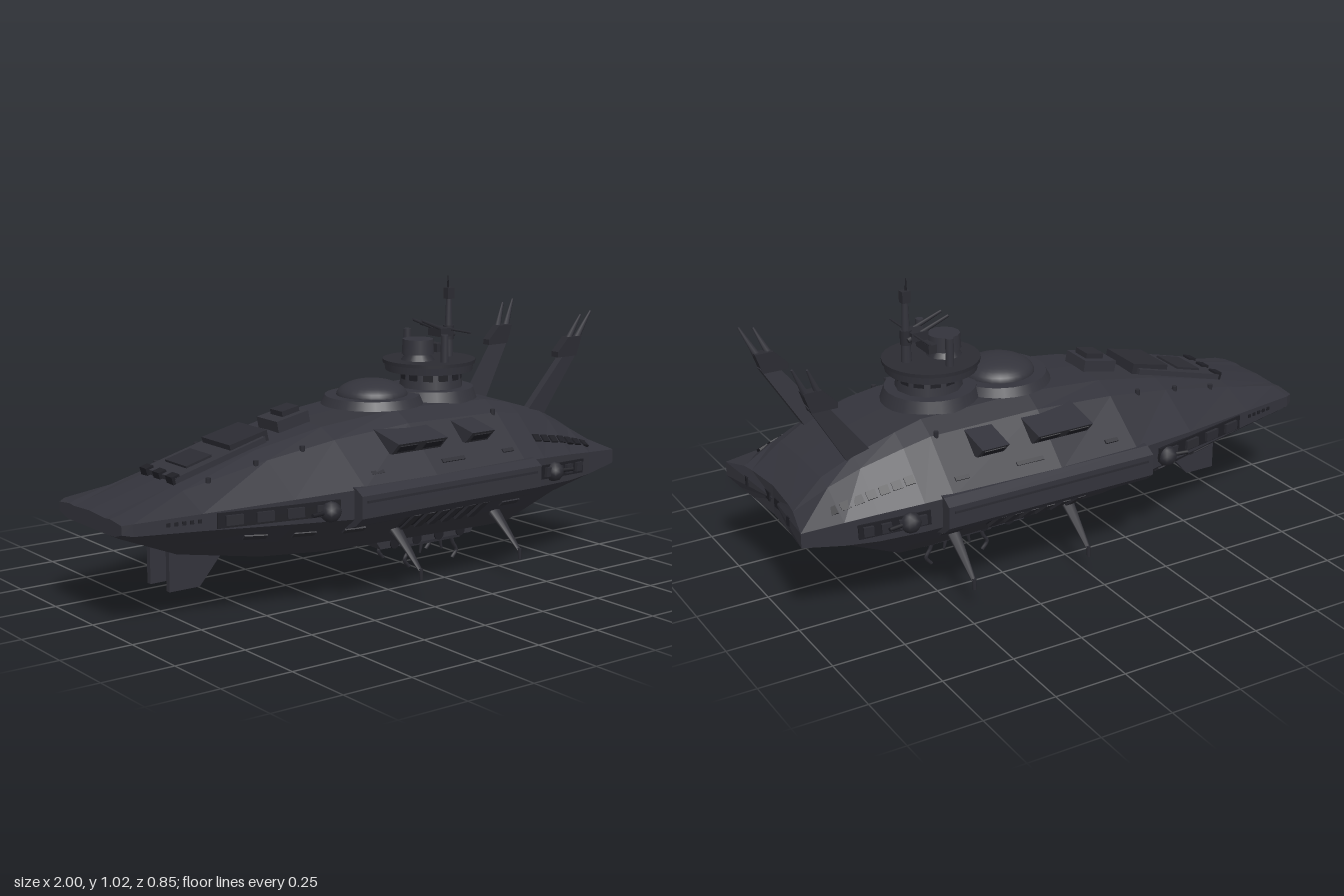
import * as THREE from 'three';

const mat = (name, color) => Object.assign(new THREE.MeshStandardMaterial({ color }), { name });
const HULL = mat('charcoal plating', 0x33333b);
const TRIM = mat('dark trim', 0x2b2b32);
const DARK = mat('black recess', 0x1f1f25);

// Hull stations: x, deck y, deck half width, waist half width, waist top, waist bottom, keel half width, keel y
const ST = [
  [-1.0, 0.38, 0.10, 0.20, 0.37, 0.34, 0.12, 0.325],
  [-0.97, 0.39, 0.10, 0.22, 0.375, 0.335, 0.13, 0.31],
  [-0.75, 0.45, 0.10, 0.27, 0.385, 0.33, 0.11, 0.22],
  [-0.45, 0.53, 0.12, 0.34, 0.40, 0.32, 0.14, 0.17],
  [-0.2, 0.58, 0.14, 0.385, 0.41, 0.31, 0.17, 0.155],
  [0.1, 0.61, 0.16, 0.39, 0.41, 0.31, 0.18, 0.15],
  [0.5, 0.60, 0.16, 0.38, 0.41, 0.31, 0.18, 0.14],
  [0.6, 0.58, 0.17, 0.37, 0.405, 0.305, 0.175, 0.14],
  [0.75, 0.535, 0.17, 0.345, 0.395, 0.30, 0.165, 0.20],
  [0.86, 0.48, 0.16, 0.325, 0.385, 0.305, 0.16, 0.245],
  [0.96, 0.405, 0.15, 0.305, 0.375, 0.325, 0.15, 0.30],
];
const mix = THREE.MathUtils.lerp;

function station(x) {
  const i = Math.max(1, ST.findIndex(s => s[0] >= x));
  const k = (x - ST[i - 1][0]) / (ST[i][0] - ST[i - 1][0]);
  return ST[i].map((v, n) => mix(ST[i - 1][n], v, k));
}

function section([x, yt, zt, zw, y1, y2, zb, yb]) {
  const half = [[0, yt], [zt, yt - 0.005], [mix(zt, zw, 0.3), mix(yt, y1, 0.22)], [zw, y1],
    [zw, y2], [mix(zw, zb, 0.5), mix(y2, yb, 0.5) - 0.005], [zb, yb], [0, yb]];
  const loop = [...half, ...half.slice(1, -1).reverse().map(([z, y]) => [-z, y])];
  // the transom is hollowed, with corners swept aft
  return loop.map(([z, y]) => [x > 0.9 ? x + 0.04 * (z / 0.305) ** 2 : x, y, z]);
}

function hullGeometry() {
  const rings = ST.map(section), n = rings[0].length, pos = [];
  const tri = (...p) => p.forEach(v => pos.push(...v));
  for (let i = 0; i < rings.length - 1; i++) for (let j = 0; j < n; j++) {
    const k = (j + 1) % n, a = rings[i], b = rings[i + 1];
    tri(a[j], a[k], b[j]);
    tri(a[k], b[k], b[j]);
  }
  const bow = rings[0], stern = rings.at(-1);
  for (let j = 0; j < n; j++) {
    const k = (j + 1) % n;
    tri([-1, 0.355, 0], bow[k], bow[j]);
    tri([0.96, 0.355, 0], stern[j], stern[k]);
  }
  const g = new THREE.BufferGeometry();
  g.setAttribute('position', new THREE.Float32BufferAttribute(pos, 3));
  g.computeVertexNormals();
  return g;
}

export function createModel() {
  const model = new THREE.Group();
  model.name = 'airship cruiser';
  const add = (name, geo, m, x = 0, y = 0, z = 0) => {
    const o = new THREE.Mesh(geo, m);
    o.name = name;
    o.position.set(x, y, z);
    model.add(o);
    return o;
  };
  const box = (name, m, w, h, d, x, y, z) => add(name, new THREE.BoxGeometry(w, h, d), m, x, y, z);
  const cyl = (name, m, r1, r2, h, x, y, z, n = 16) => add(name, new THREE.CylinderGeometry(r1, r2, h, n), m, x, y, z);
  // tapered bar between two points
  const bar = (name, m, a, b, r1, r2 = r1, n = 6, flat = 1) => {
    const p = new THREE.Vector3(...a), q = new THREE.Vector3(...b), d = q.clone().sub(p);
    const o = add(name, new THREE.CylinderGeometry(r2, r1, d.length(), n), m);
    o.position.copy(p).add(q).multiplyScalar(0.5);
    o.quaternion.setFromUnitVectors(new THREE.Vector3(0, 1, 0), d.normalize());
    o.scale.z = flat;
    return o;
  };
  // outline in x,y extruded across z
  const slab = (name, m, pts, depth, z) => add(name, new THREE.ExtrudeGeometry(
    new THREE.Shape(pts.map(p => new THREE.Vector2(...p))), { depth, bevelEnabled: false }), m, 0, 0, z - depth / 2);
  // outline in z,y extruded along x
  const prism = (name, m, pts, x0, x1) => {
    const o = add(name, new THREE.ExtrudeGeometry(new THREE.Shape(pts.map(p => new THREE.Vector2(-p[0], p[1]))),
      { depth: x1 - x0, bevelEnabled: false }), m, x0);
    o.rotation.y = Math.PI / 2;
    return o;
  };
  // thin plate laid on the hull flank; rows: 2 upper slope, 3 waist, 4 upper bilge, 5 lower bilge
  const plate = (name, m, x, row, t, w, h, s, thick = 0.009) => {
    const at = (px, k) => {
      const r = section(station(px));
      return new THREE.Vector3(px, mix(r[row][1], r[row + 1][1], k), s * mix(r[row][2], r[row + 1][2], k));
    };
    const u = at(x + 0.02, t).sub(at(x - 0.02, t)).normalize();
    const v = at(x, t - 0.1).sub(at(x, t + 0.1)).normalize();
    const nrm = u.clone().cross(v).normalize();
    v.crossVectors(nrm, u);
    const o = box(name, m, w, h, thick, 0, 0, 0);
    o.quaternion.setFromRotationMatrix(new THREE.Matrix4().makeBasis(u, v, nrm));
    o.position.copy(at(x, t));
  };

  add('hull', hullGeometry(), HULL);

  for (const s of [1, -1]) {
    // side armour
    prism('sponson', HULL, [[0.34, 0.42], [0.385, 0.415], [0.42, 0.395], [0.42, 0.32], [0.385, 0.29], [0.33, 0.27]]
      .map(([z, y]) => [z * s, y]), -0.24, 0.54);
    box('sponson rail', TRIM, 0.74, 0.008, 0.008, 0.15, 0.375, s * 0.42);
    // roof dormers, with dark openings below the eaves
    for (const [x0, x1] of [[-0.04, 0.17], [0.28, 0.38]]) {
      prism('dormer', HULL, [[0.19, 0.565], [0.355, 0.53], [0.315, 0.49], [0.22, 0.5]].map(([z, y]) => [z * s, y]), x0, x1);
      const w = x1 - x0;
      for (let i = 0; i < (w > 0.15 ? 2 : 1); i++) {
        const o = box('dormer window', DARK, 0.075, 0.03, 0.006, x0 + 0.05 + i * 0.11, 0.511, s * 0.336);
        o.rotation.x = s * 0.785;
      }
    }
    // waist gun bays and ball turrets
    for (const [x, w] of [[-0.5, 0.42], [0.7, 0.24]]) {
      plate('gun bay', DARK, x, 3, 0.5, w, 0.05, s);
      for (let i = 0; i < 4; i++) plate('bay machinery', TRIM, x - w * 0.36 + i * w * 0.24, 3, 0.5, w * 0.14, 0.032, s, 0.03);
    }
    for (const x of [-0.33, 0.65]) {
      const z = x < 0 ? 0.37 : 0.365;
      add('ball turret', new THREE.IcosahedronGeometry(0.036, 1), TRIM, x, 0.35, s * z);
      bar('turret barrel', DARK, [x, 0.35, s * z], [x + Math.sign(x) * 0.08, 0.35, s * (z + 0.012)], 0.007);
    }
    // bow portholes and stern gallery windows
    for (let i = 0; i < 5; i++) plate('porthole', DARK, -0.86 + i * 0.025, 3, 0.4, 0.012, 0.012, s);
    for (let i = 0; i < 7; i++) plate('gallery window', DARK, 0.62 + i * 0.043, 2, 0.55 + i * 0.01, 0.032, 0.03, s);
    for (const [x, w] of [[-0.12, 0.05], [0.2, 0.1], [0.45, 0.05]]) plate('hull vent', TRIM, x, 2, 0.75, w, 0.014, s);
    // lower grille
    plate('grille recess', DARK, 0.17, 4, 0.5, 0.34, 0.1, s);
    for (let i = 0; i < 6; i++) plate('grille post', TRIM, 0.02 + i * 0.06, 4, 0.5, 0.03, 0.1, s, 0.03);
    for (const x of [-0.55, -0.38, -0.2, 0.48]) plate('belly hatch', TRIM, x, 4, 0.6, 0.08, 0.025, s);
    // splayed struts
    for (const x of [0.01, 0.45]) {
      bar('strut', TRIM, [x, 0.235, s * 0.26], [x, 0.105, s * 0.412], 0.026, 0.008, 6, 0.5);
      bar('strut brace', TRIM, [x, 0.215, s * 0.25], [x, 0.16, s * 0.345], 0.014, 0.008);
      bar('strut foot', TRIM, [x, 0.112, s * 0.413], [x, 0.075, s * 0.415], 0.007, 0.006);
    }
    // twin-pronged stern masts
    slab('stern mast', HULL, [[0.67, 0.51], [0.77, 0.51], [0.91, 0.74], [0.85, 0.74]], 0.026, 0).position.z = s * 0.16 - 0.013;
    const mast = model.children.at(-1);
    mast.geometry.translate(0, -0.51, 0);
    mast.position.y = 0.51;
    mast.rotation.x = s * 0.12;
    slab('mast pod', TRIM, [[0.81, 0.72], [0.9, 0.72], [0.925, 0.79], [0.86, 0.79], [0.81, 0.74]], 0.034, s * 0.188);
    for (const [x, tx, ty] of [[0.865, 0.91, 0.87], [0.905, 0.96, 0.88]])
      bar('mast prong', HULL, [x, 0.77, s * 0.19], [tx, ty, s * 0.211], 0.013, 0.004);
    // bow keel fins
    slab('keel fin', HULL, [[-0.755, 0.24], [-0.755, 0.085], [-0.64, 0.085], [-0.54, 0.2]], 0.02, s * 0.06);
    // deck bollards
    for (const x of [-0.66, -0.49, -0.32, 0.48]) {
      const r = section(station(x))[2];
      cyl('bollard', TRIM, 0.009, 0.009, 0.03, x, r[1] - 0.002, s * r[2], 8);
    }
    // grappling claws
    for (const d of [-1, 1]) {
      const path = new THREE.CatmullRomCurve3([[0.05, 0.1], [0.09, 0.09], [0.105, 0.06], [0.12, 0.035], [0.1, 0.008]]
        .map(([x, y]) => new THREE.Vector3(0.33 + d * x, y, s * 0.075)));
      add('outer claw', new THREE.TubeGeometry(path, 12, 0.007, 6), TRIM);
      bar('inner claw', TRIM, [0.33 + d * 0.04, 0.1, s * 0.075], [0.33 + d * 0.05, 0.05, s * 0.075], 0.009, 0.004);
    }
    for (let i = 0; i < 4; i++) cyl('pod nozzle', DARK, 0.02, 0.02, 0.02, 0.14 + i * 0.1, 0.115, s * 0.1, 10).rotation.x = Math.PI / 2;
    // bridge funnels
    cyl('funnel', HULL, 0.014, 0.014, 0.1, 0.36, 0.78, s * 0.105, 12);
  }

  // belly pod
  slab('belly pod', HULL, [[0.05, 0.145], [0.08, 0.1], [0.49, 0.1], [0.52, 0.145]], 0.21, 0);
  box('claw rail', TRIM, 0.26, 0.02, 0.17, 0.33, 0.093, 0);

  // stern gallery
  for (const z of [-0.2, -0.06, 0.06, 0.2])
    box('transom window', DARK, 0.008, 0.032, 0.08, 0.96 + 0.04 * (z / 0.305) ** 2 - 0.001, 0.355, z).rotation.y = -z * 0.8;

  // foredeck houses and fittings, pitched with the deck
  const deck = (name, m, x, w, h, d, z = 0) => {
    box(name, m, w, h, d, x, station(x)[1] + h * 0.25, z).rotation.z =
      Math.atan2(station(x + 0.05)[1] - station(x - 0.05)[1], 0.1);
  };
  deck('foredeck plinth', HULL, -0.57, 0.36, 0.02, 0.2);
  deck('foredeck house', TRIM, -0.45, 0.15, 0.042, 0.17);
  deck('foredeck hatch', TRIM, -0.63, 0.1, 0.03, 0.13);
  for (const z of [-0.08, 0, 0.08]) deck('windlass', DARK, -0.74, 0.03, 0.03, 0.04, z);
  deck('middeck house', HULL, -0.255, 0.13, 0.05, 0.12);
  deck('middeck skylight', TRIM, -0.245, 0.07, 0.075, 0.07);

  // dome
  cyl('dome ring', HULL, 0.165, 0.18, 0.03, 0.12, 0.617, 0, 32);
  const dome = add('dome', new THREE.SphereGeometry(0.125, 28, 10, 0, Math.PI * 2, 0, Math.PI / 2), HULL, 0.12, 0.63, 0);
  dome.scale.y = 0.45;

  // bridge tower
  cyl('tower base', HULL, 0.155, 0.17, 0.045, 0.38, 0.613, 0, 24);
  cyl('tower neck', HULL, 0.105, 0.115, 0.07, 0.385, 0.665, 0, 12);
  for (let i = 0; i < 12; i++) {
    const a = (i + 0.5) * Math.PI / 6;
    box('bridge window', DARK, 0.035, 0.022, 0.008, 0.385 + Math.sin(a) * 0.104, 0.675, Math.cos(a) * 0.104).rotation.y = a;
  }
  cyl('bridge platform', HULL, 0.16, 0.155, 0.036, 0.375, 0.713, 0, 28);
  cyl('platform rim', TRIM, 0.165, 0.165, 0.012, 0.375, 0.728, 0, 28);
  cyl('director base', TRIM, 0.045, 0.06, 0.02, 0.325, 0.744, 0);
  cyl('director', HULL, 0.055, 0.058, 0.052, 0.325, 0.782, 0, 12);
  box('rangefinder', TRIM, 0.03, 0.03, 0.09, 0.39, 0.775, 0);

  // signal mast with yard and raked guns
  cyl('mast', HULL, 0.01, 0.018, 0.22, 0.465, 0.84, 0, 10);
  cyl('mast collar', TRIM, 0.02, 0.02, 0.05, 0.465, 0.82, 0, 10);
  box('masthead', TRIM, 0.03, 0.04, 0.026, 0.465, 0.96, 0);
  cyl('aerial', DARK, 0.002, 0.004, 0.05, 0.46, 0.997, 0, 6);
  bar('yard', TRIM, [0.45, 0.834, -0.14], [0.45, 0.834, 0.14], 0.004);
  for (const z of [-0.025, 0.025]) bar('raked gun', TRIM, [0.47, 0.815, z], [0.32, 0.875, z], 0.009, 0.005);
  box('gun cradle', TRIM, 0.06, 0.03, 0.07, 0.43, 0.825, 0);
  return model;
}
